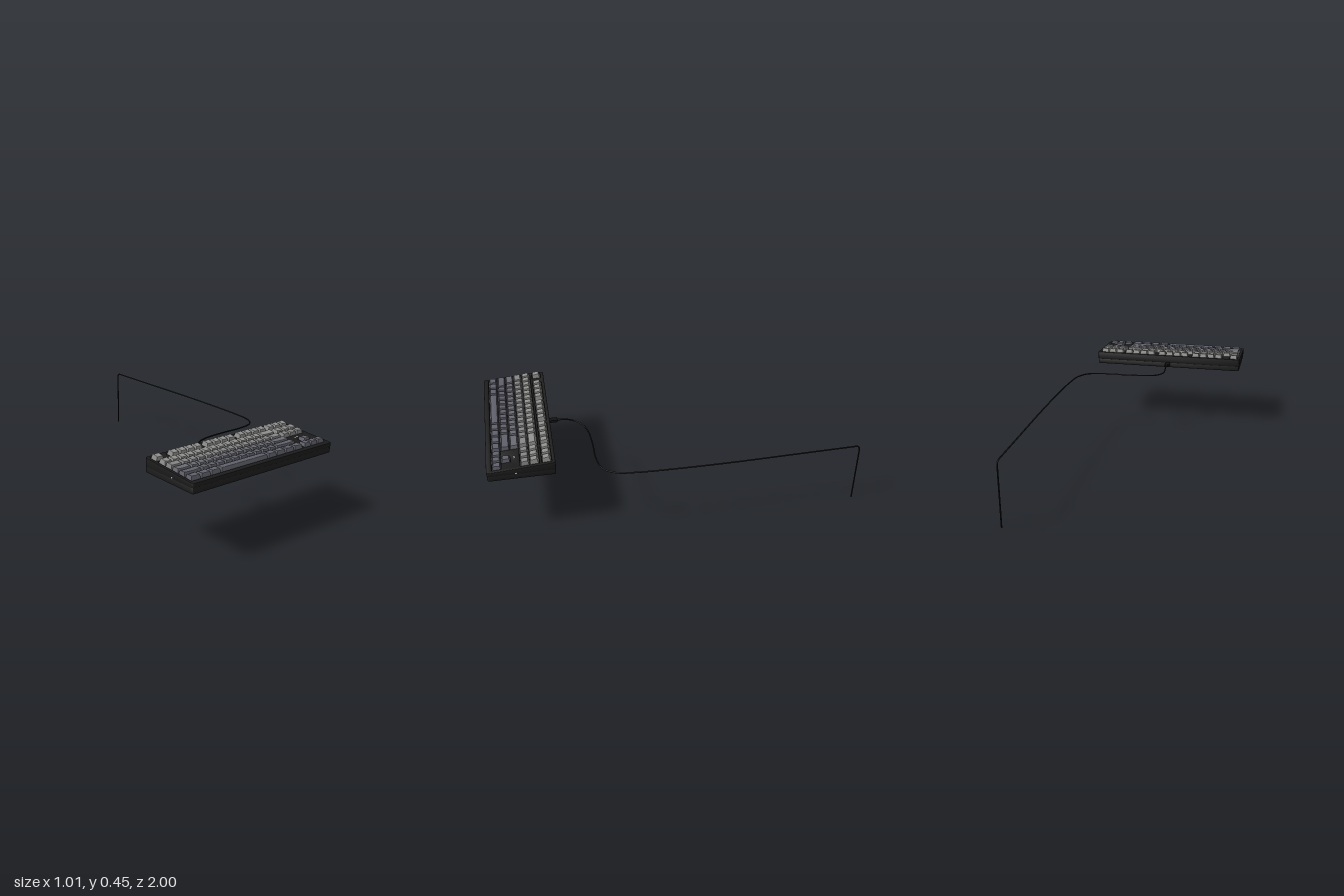
import * as THREE from 'three';
import { toCreasedNormals } from 'three/addons/utils/BufferGeometryUtils.js';

const U = 0.0489;            // one key unit
const X0 = -0.49;            // left edge of the key field
const ROW_Z = [0.688, 0.751, 0.8, 0.849, 0.898, 0.947];
const rimTop = (z) => 0.411 + (0.995 - z) * 0.064;   // sloping top of the case

function material(name, color) {
  const m = new THREE.MeshStandardMaterial({ color });
  m.name = name;
  return m;
}

function roundedRect(x0, x1, z0, z1, r, Type = THREE.Shape) {
  // drawn in x and -z, so the extrusion can be laid flat
  const s = new Type();
  const a = -z1, b = -z0;
  s.moveTo(x0 + r, a);
  s.lineTo(x1 - r, a); s.quadraticCurveTo(x1, a, x1, a + r);
  s.lineTo(x1, b - r); s.quadraticCurveTo(x1, b, x1 - r, b);
  s.lineTo(x0 + r, b); s.quadraticCurveTo(x0, b, x0, b - r);
  s.lineTo(x0, a + r); s.quadraticCurveTo(x0, a, x0 + r, a);
  return s;
}

// Flat slab whose lower and upper faces follow functions of z
function slab(shape, low, high, bevel) {
  const h = 0.03;
  const g = new THREE.ExtrudeGeometry(shape, {
    depth: h - 2 * bevel, bevelEnabled: bevel > 0, bevelThickness: bevel,
    bevelSize: bevel, bevelOffset: -bevel, bevelSegments: 2, curveSegments: 4,
  });
  g.translate(0, 0, bevel);
  g.rotateX(-Math.PI / 2);
  const p = g.attributes.position;
  for (let i = 0; i < p.count; i++) {
    const y = p.getY(i), z = p.getZ(i);
    p.setY(i, y < h / 2 ? low(z) + y : high(z) - (h - y));
  }
  return toCreasedNormals(g, 0.6);
}

// Tapered keycap with a rounded shoulder and a dished top
function keycap(units, convex) {
  const w = units * U - 0.0025, d = U - 0.0025, h = 0.032;
  const g = new THREE.BoxGeometry(w, h, d, 6, 2, 4);
  const p = g.attributes.position;
  for (let i = 0; i < p.count; i++) {
    const x = p.getX(i), y = p.getY(i), z = p.getZ(i);
    const level = Math.round(y / (h / 2));          // -1 base, 0 shoulder, 1 top
    const inset = level < 0 ? 0 : level === 0 ? 0.0048 : 0.0068;
    let ny = level < 0 ? 0 : level === 0 ? h * 0.88 : h;
    const across = convex ? z / (d / 2) : x / (w / 2);
    if (level > 0) ny -= convex ? 0.002 * across * across : 0.002 * (1 - across * across);
    p.setXYZ(i, x * (1 - 2 * inset / w), ny, z * (1 - 2 * inset / d) - (level < 0 ? 0 : 0.001));
  }
  g.computeVertexNormals();
  return g;
}

export function createModel() {
  const model = new THREE.Group();
  model.name = 'keyboard';
  const black = material('case black', 0x1c1c1c);
  const plateBlack = material('plate black', 0x111111);
  const cableBlack = material('cable black', 0x131313);
  const white = material('indicator white', 0xd0d0d0);
  const palest = material('key pale grey', 0x8f8f8d);
  const pale = material('key mid grey', 0x848485);
  const slate = material('key slate', 0x696a72);
  const darkSlate = material('key dark slate', 0x60616b);
  const rowMaterial = [palest, palest, pale, slate, darkSlate, darkSlate];

  const add = (name, geometry, mat, parent = model) => {
    const m = new THREE.Mesh(geometry, mat);
    m.name = name;
    parent.add(m);
    return m;
  };

  // Case: lower tray, solid floor and top frame with openings for each key block
  const L = -0.507, R = 0.422, B = 0.645, F = 1;
  add('lowerCase', slab(roundedRect(L + 0.0015, R - 0.0015, B + 0.0015, F - 0.0015, 0.012),
    () => 0.357, () => 0.388, 0.003), black);
  add('keyPlate', slab(roundedRect(L + 0.006, R - 0.006, B + 0.006, F - 0.006, 0.01),
    () => 0.37, (z) => rimTop(z) - 0.014, 0), plateBlack);

  const frame = roundedRect(L, R, B, F, 0.014);
  const opening = (u0, u1, r0, r1) => frame.holes.push(roundedRect(
    X0 + u0 * U - 0.001, X0 + u1 * U + 0.001,
    ROW_Z[r0] - U / 2 - 0.001, ROW_Z[r1] + U / 2 + 0.001, 0.003, THREE.Path));
  [[0, 1], [2, 6], [6.5, 10.5], [11, 15], [15.25, 18.25]].forEach(([a, b]) => opening(a, b, 0, 0));
  opening(0, 15, 1, 5);
  opening(15.25, 18.25, 1, 2);
  // Arrow opening shaped like an upturned T
  const arrows = new THREE.Path();
  const ax = (u) => X0 + u * U, az = (row, side) => -(ROW_Z[row] + side * U / 2);
  arrows.setFromPoints([
    [ax(15.25), az(5, 1)], [ax(18.25), az(5, 1)], [ax(18.25), az(5, -1)], [ax(17.25), az(5, -1)],
    [ax(17.25), az(4, -1)], [ax(16.25), az(4, -1)], [ax(16.25), az(5, -1)], [ax(15.25), az(5, -1)],
  ].map(([x, y]) => new THREE.Vector2(x, y)));
  arrows.closePath();
  frame.holes.push(arrows);
  add('topFrame', slab(frame, () => 0.387, rimTop, 0.002), black);

  // Feet under the corners
  for (const x of [-0.425, 0.34]) for (const z of [0.69, 0.955]) {
    add('foot', new THREE.BoxGeometry(0.11, 0.006, 0.022), plateBlack).position.set(x, 0.356, z);
  }

  // Small side plates and indicator lights
  for (const x of [L, R]) {
    add('sidePlate', new THREE.BoxGeometry(0.002, 0.007, 0.009), white).position.set(x, 0.393, 0.85);
  }
  for (const x of [0.312, 0.324]) {
    const light = add('indicatorLight', new THREE.BoxGeometry(0.008, 0.001, 0.006), white);
    light.position.set(x, rimTop(0.852) + 0.0003, 0.852);
    light.rotation.x = 0.064;
  }

  // Keys: [first unit, widths...] for each run in a row
  const ones = (n) => Array(n).fill(1);
  const rows = [
    [[0, 1], [2, ...ones(4)], [6.5, ...ones(4)], [11, ...ones(4)], [15.25, ...ones(3)]],
    [[0, ...ones(13), 2], [15.25, ...ones(3)]],
    [[0, 1.5, ...ones(12), 1.5], [15.25, ...ones(3)]],
    [[0, 1.75, ...ones(11), 2.25]],
    [[0, 2.25, ...ones(10), 2.75], [16.25, 1]],
    [[0, 1.25, 1.25, 1.25, 6.25, 1.25, 1.25, 1.25, 1.25], [15.25, ...ones(3)]],
  ];
  const tilt = [0.16, 0.14, 0.09, 0.04, -0.03, -0.03];
  const lift = [0.001, 0.001, -0.001, -0.003, -0.003, -0.003];
  const caps = {};
  rows.forEach((runs, r) => {
    const row = new THREE.Group();
    row.name = 'keyRow' + (r + 1);
    model.add(row);
    for (const [start, ...widths] of runs) {
      let u = start;
      for (const w of widths) {
        caps[w] ??= keycap(w, w > 6);
        const key = add(w > 6 ? 'spaceBar' : 'key', caps[w], rowMaterial[r], row);
        key.position.set(X0 + (u + w / 2) * U, rimTop(ROW_Z[r]) - 0.013 + lift[r], ROW_Z[r]);
        key.rotation.x = tilt[r];
        u += w;
      }
    }
  });

  // Cable plug at the back
  add('plug', new THREE.BoxGeometry(0.03, 0.014, 0.05), cableBlack).position.set(-0.045, 0.381, 0.625);
  const relief = add('strainRelief', new THREE.CylinderGeometry(0.0045, 0.007, 0.03, 12), cableBlack);
  relief.rotation.x = -Math.PI / 2;
  relief.position.set(-0.045, 0.381, 0.587);

  // Cable lying on the desk, then hanging straight down over its edge
  const lying = new THREE.CatmullRomCurve3([
    [-0.045, 0.381, 0.61], [-0.045, 0.379, 0.56], [-0.042, 0.363, 0.505], [-0.005, 0.357, 0.465],
    [0.07, 0.357, 0.44], [0.2, 0.357, 0.43], [0.33, 0.357, 0.428], [0.425, 0.357, 0.402],
    [0.472, 0.357, 0.335], [0.489, 0.357, 0.22], [0.498, 0.357, 0], [0.501, 0.357, -0.3],
    [0.497, 0.357, -0.6], [0.492, 0.357, -0.97],
  ].map((p) => new THREE.Vector3(...p)), false, 'centripetal');
  const path = new THREE.CurvePath();
  const v = (y, z) => new THREE.Vector3(0.492, y, z);
  path.add(lying);
  path.add(new THREE.QuadraticBezierCurve3(v(0.357, -0.97), v(0.357, -0.996), v(0.331, -0.996)));
  path.add(new THREE.LineCurve3(v(0.331, -0.996), v(0, -0.996)));
  add('cable', new THREE.TubeGeometry(path, 320, 0.004, 10, false), cableBlack);
  const end = add('cableEnd', new THREE.CircleGeometry(0.004, 10), cableBlack);
  end.rotation.x = Math.PI / 2;
  end.position.set(0.492, 0, -0.996);

  return model;
}
